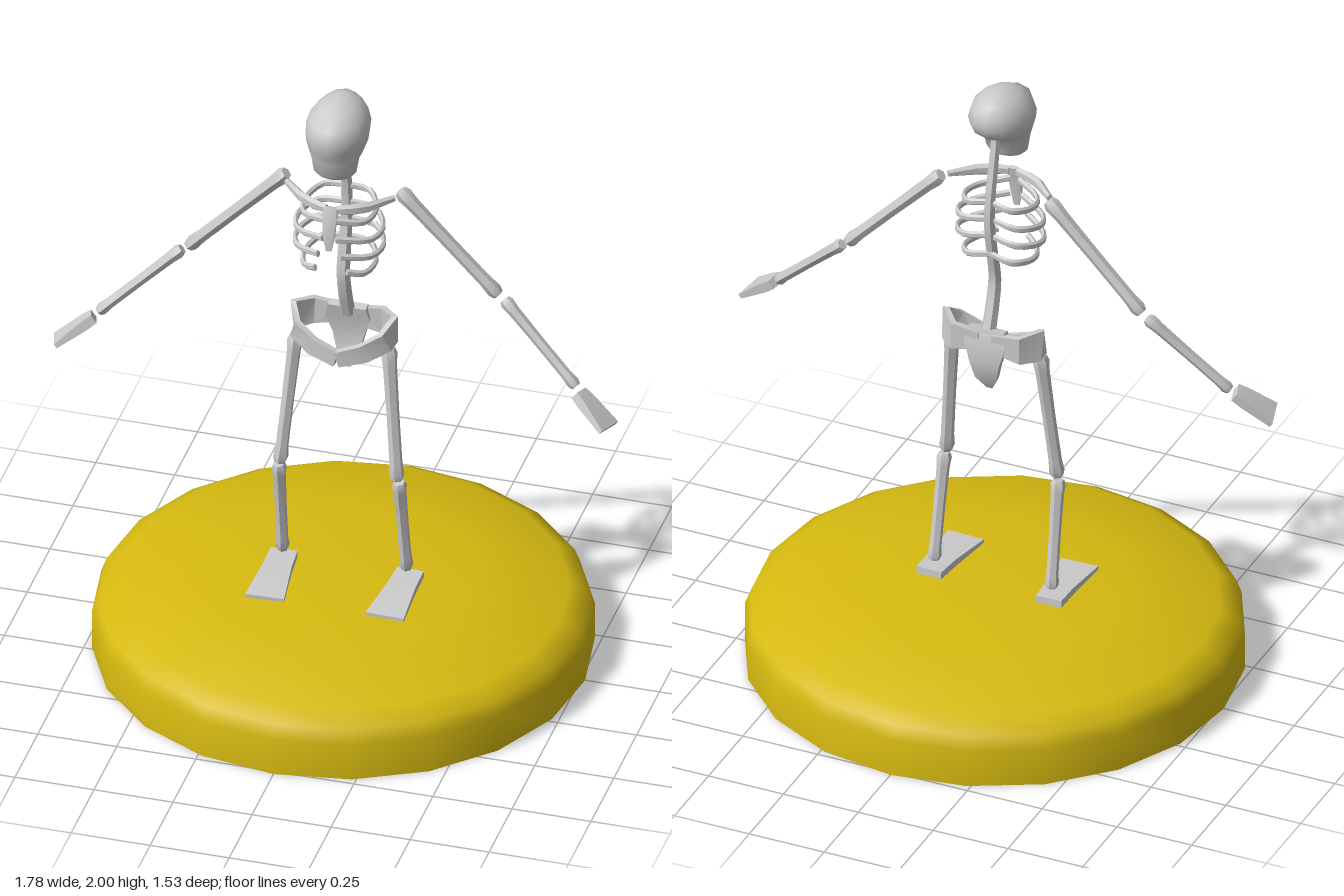
import * as THREE from 'three';
import { toCreasedNormals } from 'three/addons/utils/BufferGeometryUtils.js';

const V = (x, y, z) => new THREE.Vector3(x, y, z);
const bone = new THREE.MeshStandardMaterial({ color: 0xcccccc });
const yellow = new THREE.MeshStandardMaterial({ color: 0xd6ba10 });

// Closed skin over a list of rings, each with the same number of points
function loft(rings, crease = 0.7) {
  const n = rings[0].length, tri = [];
  const mid = r => r.reduce((s, p) => s.add(p), V(0, 0, 0)).divideScalar(n);
  const first = mid(rings[0]), last = mid(rings[rings.length - 1]);
  for (let j = 0; j < n; j++) {
    const k = (j + 1) % n;
    for (let i = 0; i < rings.length - 1; i++) {
      const a = rings[i], b = rings[i + 1];
      tri.push([a[j], a[k], b[k]], [a[j], b[k], b[j]]);
    }
    tri.push([first, rings[0][k], rings[0][j]]);
    tri.push([last, rings[rings.length - 1][j], rings[rings.length - 1][k]]);
  }
  // turn the faces outward
  const volume = tri.reduce((s, [a, b, c]) => s + a.dot(b.clone().cross(c)), 0);
  if (volume < 0) tri.forEach(t => t.reverse());
  const geo = new THREE.BufferGeometry().setFromPoints(tri.flat());
  return toCreasedNormals(geo, crease);
}

// Sections [t, half-width, half-height] swept along a curve; ref is roughly the height direction
function sweep(curve, sections, n, ref) {
  const k = n === 4 ? Math.SQRT2 : 1;
  return loft(sections.map(([t, w, h]) => {
    const p = curve.getPoint(t), T = curve.getTangent(t);
    const side = ref.clone().cross(T).normalize(), up = T.clone().cross(side);
    return Array.from({ length: n }, (_, j) => {
      const a = (j + 0.5) / n * Math.PI * 2;
      return p.clone().addScaledVector(side, Math.cos(a) * w * k).addScaledVector(up, Math.sin(a) * h * k);
    });
  }));
}

function add(parent, name, geo, mat = bone) {
  const mesh = new THREE.Mesh(geo, mat);
  mesh.name = name;
  parent.add(mesh);
}

const X = V(1, 0, 0), Y = V(0, 1, 0), Z = V(0, 0, 1);
const spline = pts => new THREE.CatmullRomCurve3(pts.map(p => V(...p)));
const line = (a, b) => new THREE.LineCurve3(V(...a), V(...b));

// Long bone with knobbed ends
function longBone(a, b, r0, r1) {
  const m = (r0 + r1) / 2 * 0.8;
  const s = [[0, r0 * 0.75], [0.04, r0], [0.13, r0 * 0.85], [0.5, m], [0.87, r1 * 0.85], [0.96, r1], [1, r1 * 0.75]];
  return sweep(line(a, b), s.map(([t, r]) => [t, r, r]), 6, Z);
}

// Everything that exists on both sides, built for +x
function buildSide(name) {
  const g = new THREE.Group();
  g.name = name;

  // Arm
  add(g, 'upperArm', longBone([0.18, 1.67, 0], [0.49, 1.35, 0], 0.026, 0.024));
  add(g, 'forearm', longBone([0.51, 1.335, 0], [0.755, 1.105, 0.065], 0.022, 0.02));
  add(g, 'hand', sweep(line([0.767, 1.092, 0.078], [0.875, 1.013, 0.123]),
    [[0, 0.015, 0.025], [0.25, 0.016, 0.031], [1, 0.008, 0.048]], 4, Z));

  // Collar bone
  add(g, 'collarBone', sweep(spline([[0.015, 1.655, 0.135], [0.09, 1.655, 0.105], [0.17, 1.66, 0.03]]),
    [[0, 0.011, 0.014], [0.3, 0.013, 0.02], [0.6, 0.013, 0.019], [1, 0.01, 0.011]], 6, Y));

  // Ribs: height, half-width, x and z of the front end
  [[1.615, 0.112, 0.015, 0.145], [1.555, 0.135, 0.02, 0.155], [1.495, 0.137, 0.035, 0.155], [1.43, 0.112, 0.05, 0.135]]
    .forEach(([y, w, x, z], i) => {
      const path = spline([[0, y + 0.025, -0.035], [w * 0.65, y + 0.012, -0.04], [w, y - 0.005, 0.03],
        [w * 0.85, y - 0.012, 0.1], [x, y + 0.005, z]]);
      const s = Array.from({ length: 13 }, (_, j) => [j / 12, 0.008, 0.012]);
      add(g, 'rib' + (i + 1), sweep(path, s, 6, Y));
    });

  // Hip bone, running from the sacrum round to the front
  add(g, 'hipBone', sweep(spline([[0.02, 1.155, -0.063], [0.11, 1.15, -0.063], [0.158, 1.155, -0.015],
    [0.142, 1.135, 0.035], [0.08, 1.1, 0.062], [0, 1.075, 0.075]]),
    [[0, 0.01, 0.03], [0.2, 0.01, 0.045], [0.4, 0.01, 0.052], [0.6, 0.01, 0.037], [0.8, 0.01, 0.03], [1, 0.01, 0.026]], 4, Y));

  // Leg
  add(g, 'thigh', longBone([0.147, 1.1, 0.01], [0.185, 0.655, 0.053], 0.026, 0.024));
  add(g, 'shin', longBone([0.19, 0.645, 0.048], [0.196, 0.295, -0.015], 0.024, 0.022));
  add(g, 'foot', sweep(line([0.2, 0.262, -0.045], [0.19, 0.253, 0.205]),
    [[0, 0.042, 0.012], [0.35, 0.045, 0.012], [1, 0.061, 0.006]], 4, Y));
  return g;
}

export function createModel() {
  const model = new THREE.Group();
  model.name = 'skeletonOnStand';

  // Round stand with a softened rim and slightly domed top
  const profile = [[0, 0], [0.765, 0], [0.765, 0.125], [0.748, 0.17], [0.69, 0.205], [0.4, 0.246], [0, 0.248]];
  const stand = new THREE.LatheGeometry(profile.map(([r, y]) => new THREE.Vector2(r, y)), 20);
  add(model, 'stand', toCreasedNormals(stand, 0.75), yellow);

  // Skull: height, half-width, front z, back z
  const skull = [[1.762, 0.058, 0.135, 0.045], [1.775, 0.068, 0.145, 0.038], [1.825, 0.076, 0.155, 0.025],
    [1.852, 0.087, 0.166, -0.02], [1.878, 0.096, 0.176, -0.057], [1.91, 0.1, 0.18, -0.07],
    [1.95, 0.088, 0.17, -0.068], [1.98, 0.058, 0.12, -0.045], [1.997, 0.022, 0.075, -0.005]];
  add(model, 'skull', loft(skull.map(([y, w, f, b]) => Array.from({ length: 12 }, (_, j) => {
    const a = j / 12 * Math.PI * 2;
    return V(Math.sin(a) * w, y, (f + b) / 2 + Math.cos(a) * (f - b) / 2);
  })), 1));

  // Spine
  const spine = spline([[0, 1.86, 0.01], [0, 1.75, -0.012], [0, 1.65, -0.035], [0, 1.55, -0.038],
    [0, 1.45, -0.02], [0, 1.35, 0], [0, 1.27, -0.015], [0, 1.17, -0.05]]);
  add(model, 'spine', sweep(spine, Array.from({ length: 22 }, (_, i) => {
    const r = 0.015 + 0.009 * i / 21;
    return [i / 21, r, r];
  }), 6, X));

  // Breastbone
  add(model, 'breastbone', sweep(spline([[0, 1.665, 0.138], [0, 1.6, 0.155], [0, 1.52, 0.16]]),
    [[0, 0.02, 0.008], [0.2, 0.026, 0.009], [0.7, 0.021, 0.009], [1, 0.01, 0.006]], 6, Z));

  // Sacrum and tail bone
  add(model, 'sacrum', sweep(spline([[0, 1.195, -0.05], [0, 1.1, -0.068], [0, 1.03, -0.06], [0, 0.978, -0.035]]),
    [[0, 0.06, 0.014], [0.15, 0.07, 0.015], [0.4, 0.05, 0.013], [0.7, 0.036, 0.01], [1, 0.01, 0.006]], 4, Z));

  // Paired parts
  const right = buildSide('rightSide');
  right.scale.x = -1;
  model.add(buildSide('leftSide'), right);
  return model;
}
